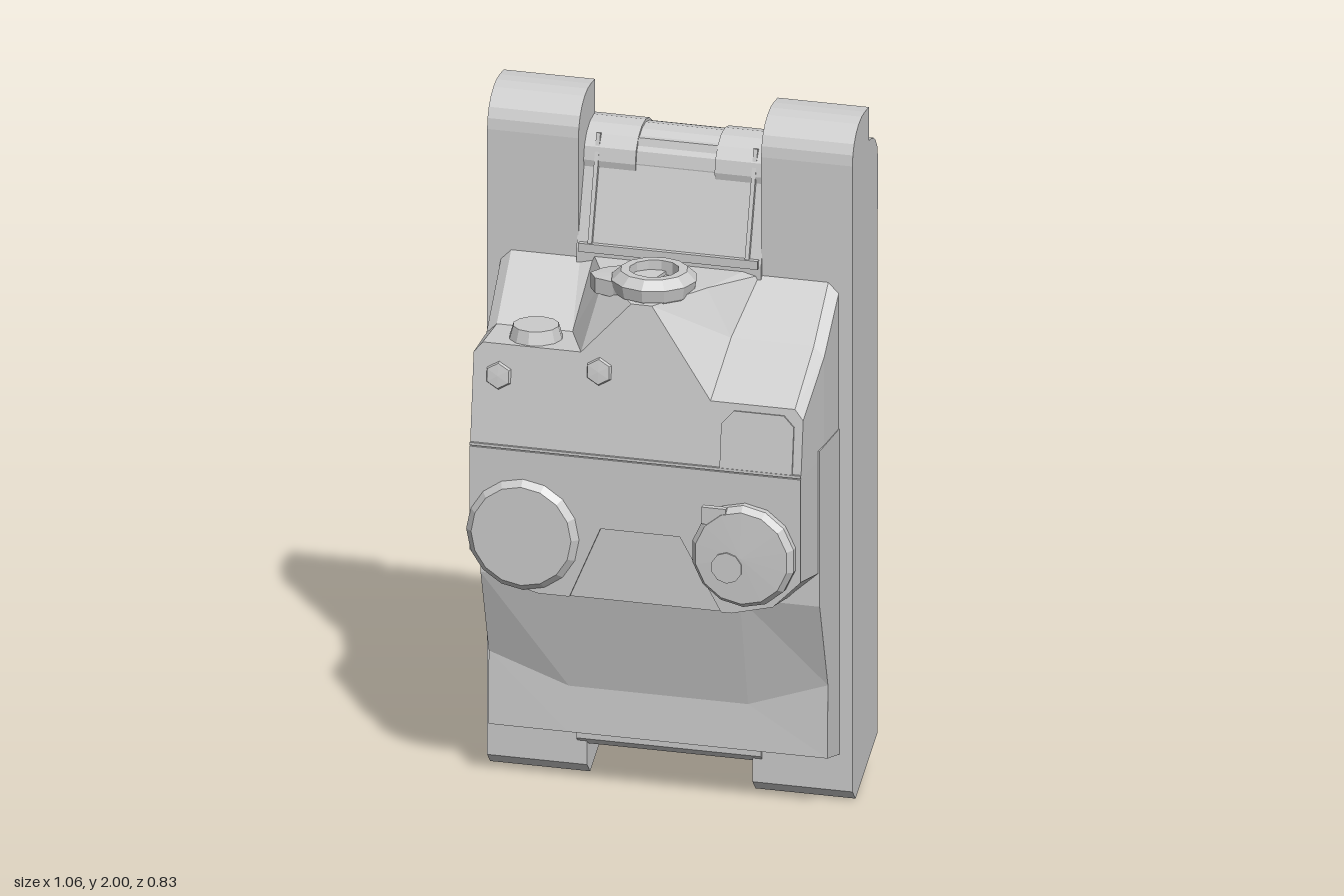
import * as THREE from 'three';

const mat = new THREE.MeshStandardMaterial({ color: 0xcccccc, flatShading: true, side: THREE.DoubleSide });

export function createModel() {
  const model = new THREE.Group();

  const add = (name, geo, x = 0, y = 0, z = 0) => {
    const m = new THREE.Mesh(geo, mat);
    m.name = name;
    m.position.set(x, y, z);
    model.add(m);
    return m;
  };
  const shape = (pts) => new THREE.Shape(pts.map(([a, b]) => new THREE.Vector2(a, b)));
  // Extrude a side profile of [z, y] points from x0 to x1
  const across = (pts, x0, x1) =>
    new THREE.ExtrudeGeometry(shape(pts), { depth: x1 - x0, bevelEnabled: false })
      .rotateY(-Math.PI / 2).translate(x1, 0, 0);
  // Extrude a front outline of [x, y] points towards +z
  const outward = (pts, depth) => new THREE.ExtrudeGeometry(shape(pts), { depth, bevelEnabled: false });
  // Turned part whose axis points to +z
  const dial = (pts, sides) =>
    new THREE.LatheGeometry(pts.map(([r, h]) => new THREE.Vector2(r, h)), sides).rotateX(Math.PI / 2);
  const arc = (cz, cy, r, a0, a1, n) => Array.from({ length: n + 1 }, (_, i) => {
    const a = a0 + (a1 - a0) * i / n;
    return [cz + r * Math.cos(a), cy + r * Math.sin(a)];
  });
  // Skin over equal-count closed sections, capped by fans around two centres
  const loft = (sections, startCentre, endCentre) => {
    const n = sections[0].length, pos = sections.flat(2), idx = [];
    for (let i = 0; i < sections.length - 1; i++) {
      for (let j = 0; j < n; j++) {
        const a = i * n + j, b = i * n + (j + 1) % n;
        idx.push(a, b, b + n, a, b + n, a + n);
      }
    }
    const c0 = sections.length * n, last = c0 - n;
    pos.push(...startCentre, ...endCentre);
    for (let j = 0; j < n; j++) {
      const k = (j + 1) % n;
      idx.push(c0, k, j, c0 + 1, last + j, last + k);
    }
    const g = new THREE.BufferGeometry();
    g.setAttribute('position', new THREE.Float32BufferAttribute(pos, 3));
    g.setIndex(idx);
    g.computeVertexNormals();
    return g;
  };

  // Side rails: hollow shells open at the back, with taller outer skirts
  const topArc = (r) => arc(-0.09, 1.88, r, Math.PI / 2, 0, 6);
  const shell = [[-0.13, 2], ...topArc(0.12), [0.03, 0.03], [0, 0], [-0.2, 0.115],
    [-0.2, 0.135], [0, 0.03], [0.01, 0.05], ...topArc(0.1).reverse(), [-0.13, 1.98]];
  const skirt = [[-0.13, 2], ...topArc(0.12), [0.03, 0.03], [0, 0], [-0.21, 0.12],
    ...arc(-0.145, 1.83, 0.07, Math.PI, Math.PI / 2, 4), [-0.13, 1.9]];
  const innerWall = [[-0.13, 2], ...topArc(0.12), [0.03, 0.03], [0, 0], [-0.13, 0.08]];
  const padding = [[-0.06, 0.11], [-0.2, 0.17], ...arc(-0.14, 1.81, 0.06, Math.PI, Math.PI / 2, 4), [-0.06, 1.87]];
  for (const s of [1, -1]) {
    const strip = (name, pts, a, b) => add(name, across(pts, Math.min(s * a, s * b), Math.max(s * a, s * b)));
    strip('railShell', shell, 0.265, 0.53);
    strip('railSkirt', skirt, 0.515, 0.53);
    strip('railInnerWall', innerWall, 0.265, 0.28);
    strip('skirtPanel', padding, 0.508, 0.515);
    strip('railFoot', [[0.03, 0.13], [0.03, 0.03], [0, 0], [-0.2, 0.115]], 0.24, 0.29);
  }

  // Central spine with the sloped upper plate
  add('spine', across([[0.02, 0.09], [-0.12, 0.09], [-0.22, 0.16], [-0.22, 1.8], [-0.17, 1.88],
    [-0.05, 1.87], [0.04, 1.56], [0.04, 0.11]], -0.268, 0.268));
  for (const s of [1, -1]) {
    const bar = add('plateRib', new THREE.BoxGeometry(0.012, 0.31, 0.015), s * 0.228, 1.725, -0.004);
    bar.rotation.x = -0.28;
  }
  add('plateSill', new THREE.BoxGeometry(0.52, 0.025, 0.03), 0, 1.565, 0.035);

  // Roller with a slimmer middle
  for (const [x, w, r] of [[-0.2, 0.17, 0.1], [0, 0.23, 0.092], [0.2, 0.17, 0.1]]) {
    add('roller', new THREE.CylinderGeometry(r, r, w, 16).rotateZ(Math.PI / 2), x, 1.8, -0.12);
  }

  // Lower hull: the knee of the front drops towards the middle
  const hullSection = (x, knee) => [[1.1, 0], [0.13, 0], [0.165, 0.145], [knee, 0.14], [0.64, 0.22], [1.1, 0.22]]
    .map(([y, z]) => [x, y, z]);
  add('lowerHull', loft([[0.492, 0.38], [0.26, 0.3], [-0.26, 0.3], [-0.492, 0.38]].map((p) => hullSection(...p)),
    [0.492, 0.7, 0.08], [-0.492, 0.7, 0.08]));

  // Upper housing: sections run from the back to the raked front
  const rake = (y) => 0.36 - Math.max(0, y - 1.07) * 0.13;
  const housing = (w, b, zOf, top) => [
    [0, b], [0.28, b], [0.4, b + 0.03], [w, b + 0.11], [w, 1.07], ...top,
    [-w, 1.07], [-w, b + 0.11], [-0.4, b + 0.03], [-0.28, b],
  ].map(([x, y]) => [x, y, zOf(y)]);
  add('housing', loft([
    housing(0.49, 0.64, () => 0.03, [[0.49, 1.5], [0.46, 1.53], [0.26, 1.53], [0.22, 1.54],
      [-0.22, 1.54], [-0.26, 1.53], [-0.46, 1.53], [-0.49, 1.5]]),
    housing(0.49, 0.62, () => 0.17, [[0.49, 1.36], [0.46, 1.39], [0.22, 1.39], [0.15, 1.53],
      [-0.15, 1.53], [-0.24, 1.36], [-0.46, 1.36], [-0.49, 1.33]]),
    housing(0.48, 0.65, rake, [[0.48, 1.23], [0.455, 1.26], [0.21, 1.26], [0.03, 1.51],
      [-0.03, 1.51], [-0.17, 1.36], [-0.455, 1.36], [-0.48, 1.33]]),
  ], [0, 1.07, 0.03], [0, 1.07, 0.36]));

  // Notched lower front plate and the seam above it
  add('frontPlate', outward([[-0.48, 1.065], [-0.48, 0.76], [-0.4, 0.68], [-0.28, 0.65], [-0.19, 0.65], [-0.1, 0.86],
    [0.13, 0.86], [0.25, 0.65], [0.28, 0.65], [0.4, 0.68], [0.48, 0.76], [0.48, 1.065]], 0.012), 0, 0, 0.355);
  add('seam', new THREE.BoxGeometry(0.96, 0.008, 0.02), 0, 1.072, 0.357);

  // Front dials
  add('leftoverDial', dial([[0.165, 0], [0.165, 0.025], [0.145, 0.045], [0, 0.045]], 16), -0.325, 0.82, 0.34)
    .name = 'wideDial';
  add('tallDial', dial([[0.15, 0], [0.15, 0.045], [0.135, 0.065], [0, 0.07]], 14), 0.32, 0.83, 0.342);
  add('dialTab', new THREE.BoxGeometry(0.07, 0.05, 0.02), 0.24, 0.945, 0.396);
  add('dialButton', dial([[0.045, 0], [0.045, 0.008], [0, 0.008]], 10), 0.28, 0.8, 0.408);

  // Small hatch and bolts lying on the raked front
  const onFront = (name, geo, x, y) => { add(name, geo, x, y, rake(y) - 0.003).rotation.x = -0.13; };
  onFront('frontHatch', outward([[-0.105, -0.08], [0.105, -0.08], [0.105, 0.06], [0.075, 0.09],
    [-0.07, 0.09], [-0.105, 0.05]], 0.009), 0.35, 1.15);
  for (const [x, y] of [[-0.405, 1.27], [-0.115, 1.31]]) {
    onFront('bolt', dial([[0.042, 0], [0.036, 0.012], [0, 0.014]], 6), x, y);
  }

  // Top port: octagonal ring with an open well and a side lobe
  add('topPort', new THREE.LatheGeometry([[0, 1.535], [0.07, 1.535], [0.07, 1.575], [0.095, 1.575],
    [0.122, 1.55], [0.115, 1.515], [0.09, 1.48]].map(([r, y]) => new THREE.Vector2(r, y)), 12), 0, 0, 0.18);
  add('portLobe', loft([1.5, 1.545].map((y) => [[-0.02, 0.29], [0.02, 0.08], [-0.1, 0.09], [-0.16, 0.13],
    [-0.185, 0.18], [-0.16, 0.22], [-0.1, 0.24]].map(([x, z]) => [x, y, z])),
  [-0.08, 1.5, 0.17], [-0.08, 1.55, 0.17]));

  // Round cap on the side shelf
  add('shelfCap', new THREE.CylinderGeometry(0.065, 0.078, 0.045, 12), -0.325, 1.375, 0.24);

  // Separate mushroom-shaped pin behind the spine
  add('pinHead', new THREE.CylinderGeometry(0.09, 0.095, 0.022, 20), 0, 1.1, -0.32);
  add('pinStem', new THREE.CylinderGeometry(0.033, 0.033, 0.12, 10), 0, 1.035, -0.32);

  return model;
}
